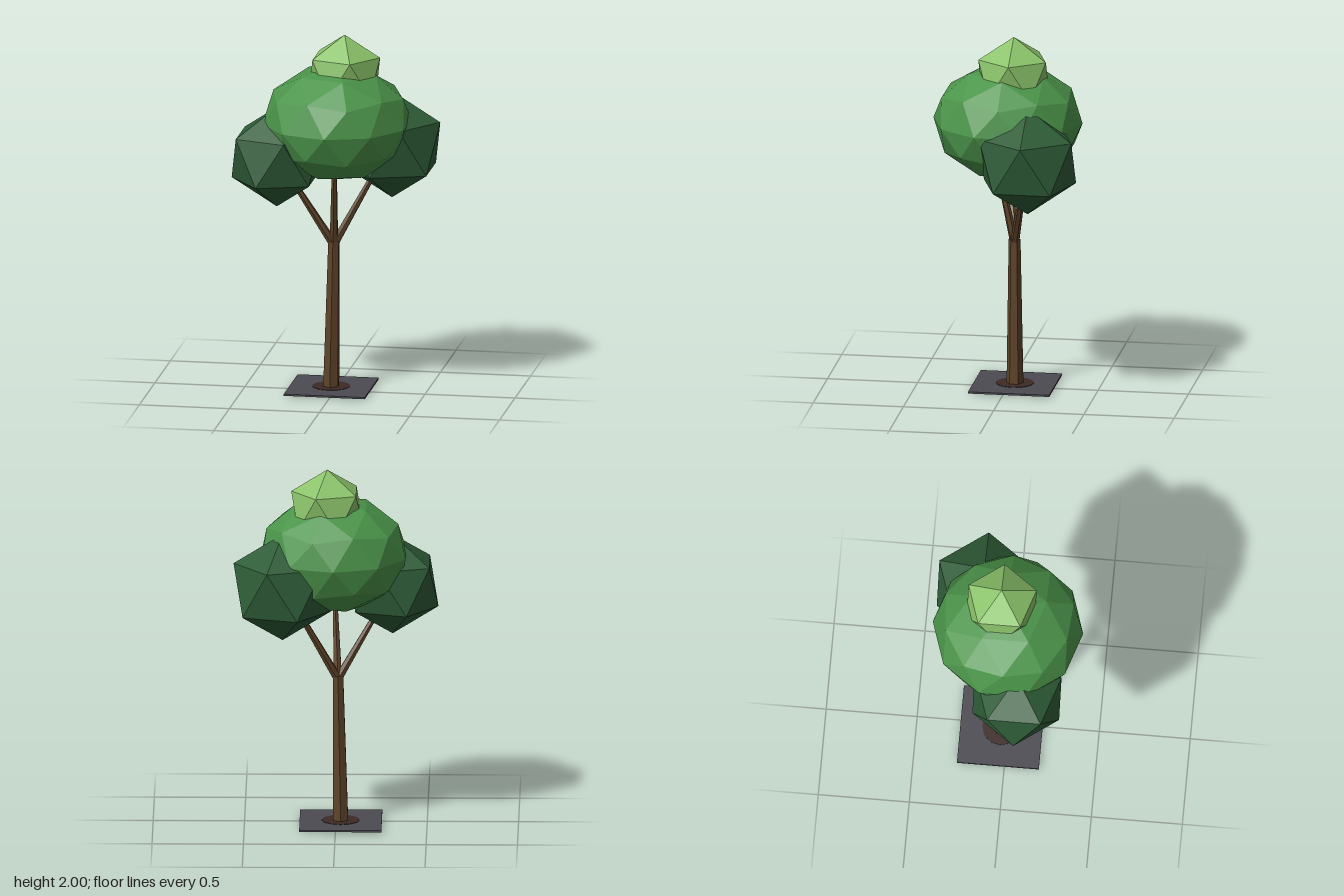
import * as THREE from 'three';

const makeMaterial = (name, color) => {
  const m = new THREE.MeshStandardMaterial({ color });
  m.name = name;
  return m;
};

// Faceted look: every face gets its own normals
const facet = (geometry) => {
  const g = geometry.index ? geometry.toNonIndexed() : geometry;
  g.computeVertexNormals();
  return g;
};

export function createModel() {
  const bark = makeMaterial('bark brown', 0x5e4429);
  const darkLeaf = makeMaterial('dark leaf green', 0x2e5c37);
  const midLeaf = makeMaterial('mid leaf green', 0x4b944a);
  const lightLeaf = makeMaterial('light leaf green', 0x8ac269);
  const stone = makeMaterial('slate grey', 0x4a4a51);
  const soil = makeMaterial('soil brown', 0x3c2a26);

  const tree = new THREE.Group();
  tree.name = 'tree';

  const add = (name, geometry, material, x, y, z) => {
    const mesh = new THREE.Mesh(facet(geometry), material);
    mesh.name = name;
    mesh.position.set(x, y, z);
    tree.add(mesh);
    return mesh;
  };

  // Tapered six-sided limb running between two points
  const limb = (name, from, to, r0, r1) => {
    const a = new THREE.Vector3(...from);
    const b = new THREE.Vector3(...to);
    const dir = b.clone().sub(a);
    const mid = a.clone().add(b).multiplyScalar(0.5);
    const mesh = add(name, new THREE.CylinderGeometry(r1, r0, dir.length(), 6), bark, mid.x, mid.y, mid.z);
    mesh.quaternion.setFromUnitVectors(new THREE.Vector3(0, 1, 0), dir.normalize());
  };

  // Icosahedron standing on a corner, optionally subdivided and squashed
  const foliage = (name, material, radius, detail, squash, x, y, z) => {
    const g = new THREE.IcosahedronGeometry(radius, detail);
    g.rotateZ(-Math.atan2(2, 1 + Math.sqrt(5)));
    g.scale(1, squash, 1);
    add(name, g, material, x, y, z);
  };

  // Ground plate and planting hole
  add('groundPlate', new THREE.BoxGeometry(0.45, 0.01, 0.45), stone, -0.027, 0.011, -0.035);
  add('soilDisc', new THREE.CylinderGeometry(0.105, 0.105, 0.014, 12), soil, -0.027, 0.011, -0.035);

  // Trunk leaning slightly to its left, and three branches
  limb('trunk', [-0.027, 0.001, -0.035], [-0.012, 0.835, -0.035], 0.047, 0.033);
  const fork = [-0.012, 0.815, -0.035];
  limb('rightBranch', fork, [-0.21, 1.15, 0.025], 0.025, 0.016);
  limb('leftBranch', fork, [0.19, 1.19, -0.115], 0.025, 0.016);
  limb('middleBranch', fork, [0.006, 1.25, 0.055], 0.025, 0.015);

  // Leaf masses
  foliage('rightFoliage', darkLeaf, 0.28, 0, 1, -0.31, 1.325, 0.075);
  foliage('leftFoliage', darkLeaf, 0.3, 0, 1, 0.29, 1.365, -0.155);
  foliage('mainCrown', midLeaf, 0.413, 1, 0.78, 0.01, 1.515, -0.002);
  foliage('topFoliage', lightLeaf, 0.22, 0, 1, 0.047, 1.78, -0.04);

  return tree;
}
